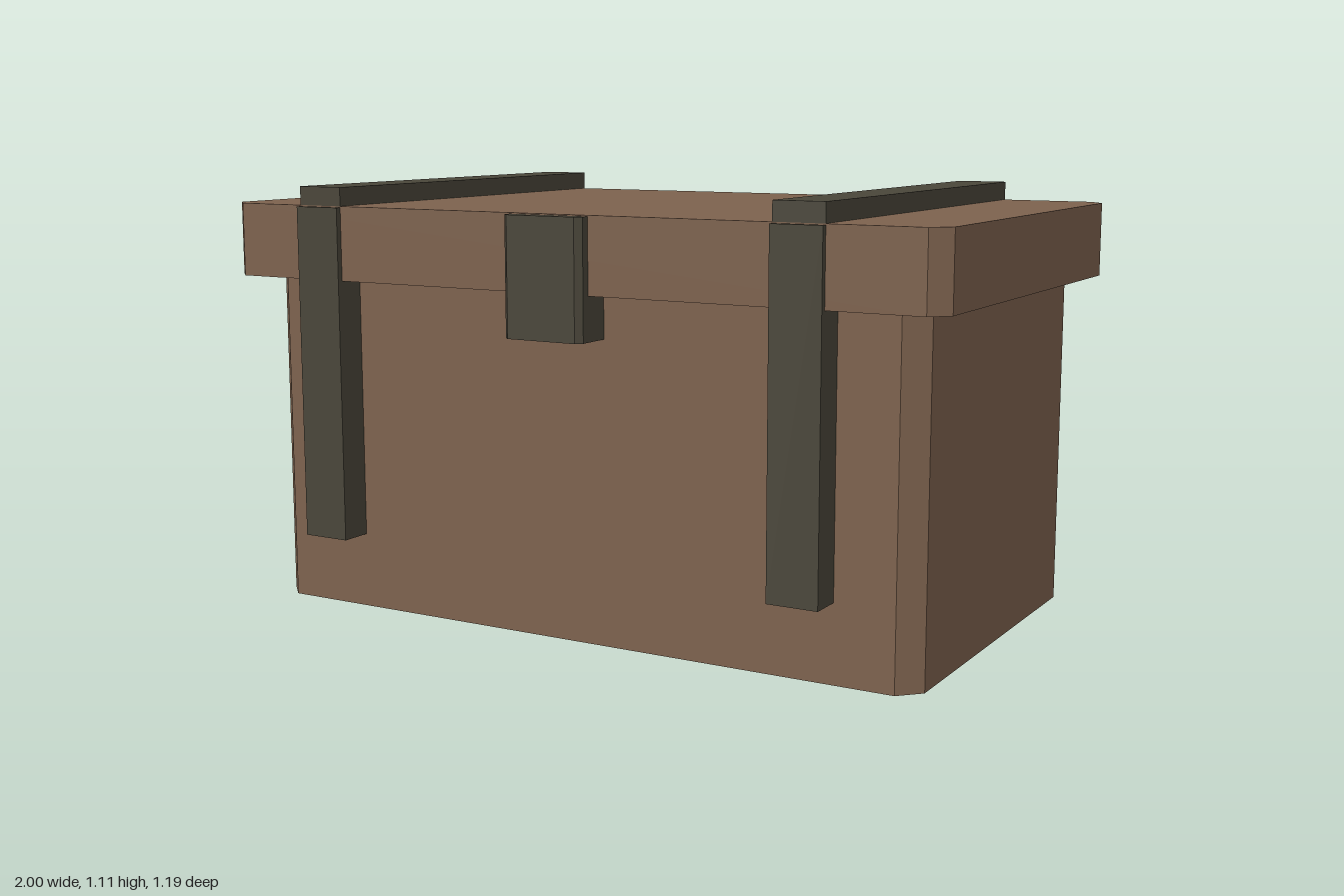
import * as THREE from 'three';

const wood = new THREE.MeshStandardMaterial({ color: 0x7d624e });
wood.name = 'brownWood';
const metal = new THREE.MeshStandardMaterial({ color: 0x4a463a });
metal.name = 'darkMetal';

// Upright block with its vertical edges cut at 45 degrees (back and front cuts given separately)
function chamferedBlock(name, material, [x0, x1], [y0, y1], [z0, z1], backCut, frontCut) {
  // Shape is drawn in x and -z, then stood up so the extrusion runs along y
  const b = backCut, f = frontCut;
  const corners = [
    [x0 + f, z1], [x1 - f, z1], [x1, z1 - f], [x1, z0 + b],
    [x1 - b, z0], [x0 + b, z0], [x0, z0 + b], [x0, z1 - f],
  ].filter(([x, z], i, all) => i === 0 || x !== all[i - 1][0] || z !== all[i - 1][1]);
  const shape = new THREE.Shape(corners.map(([x, z]) => new THREE.Vector2(x, -z)));
  const geometry = new THREE.ExtrudeGeometry(shape, { depth: y1 - y0, bevelEnabled: false });
  geometry.rotateX(-Math.PI / 2).translate(0, y0, 0);
  const mesh = new THREE.Mesh(geometry, material);
  mesh.name = name;
  return mesh;
}

function box(name, material, [x0, x1], [y0, y1], [z0, z1]) {
  const mesh = new THREE.Mesh(new THREE.BoxGeometry(x1 - x0, y1 - y0, z1 - z0), material);
  mesh.position.set((x0 + x1) / 2, (y0 + y1) / 2, (z0 + z1) / 2);
  mesh.name = name;
  return mesh;
}

export function createModel() {
  const chest = new THREE.Group();
  chest.name = 'chest';

  // Body and overhanging lid
  chest.add(chamferedBlock('body', wood, [-0.925, 0.925], [0, 0.87], [-0.547, 0.49], 0.052, 0.052));
  chest.add(chamferedBlock('lid', wood, [-1, 1], [0.87, 1.06], [-0.597, 0.56], 0.043, 0.043));

  // Two straps, each running over the lid and down the front
  for (const [side, x] of [['right', -0.695], ['left', 0.655]]) {
    const width = [x - 0.065, x + 0.065];
    const strap = new THREE.Group();
    strap.name = side + 'Strap';
    strap.add(box(side + 'StrapTop', metal, width, [1.06, 1.108], [-0.597, 0.56]));
    strap.add(box(side + 'StrapFront', metal, width, [0.195, 1.057], [0.48, 0.575]));
    chest.add(strap);
  }

  // Clasp with bevelled front edges
  chest.add(chamferedBlock('clasp', metal, [-0.11, 0.11], [0.76, 1.057], [0.48, 0.597], 0, 0.015));
  return chest;
}
